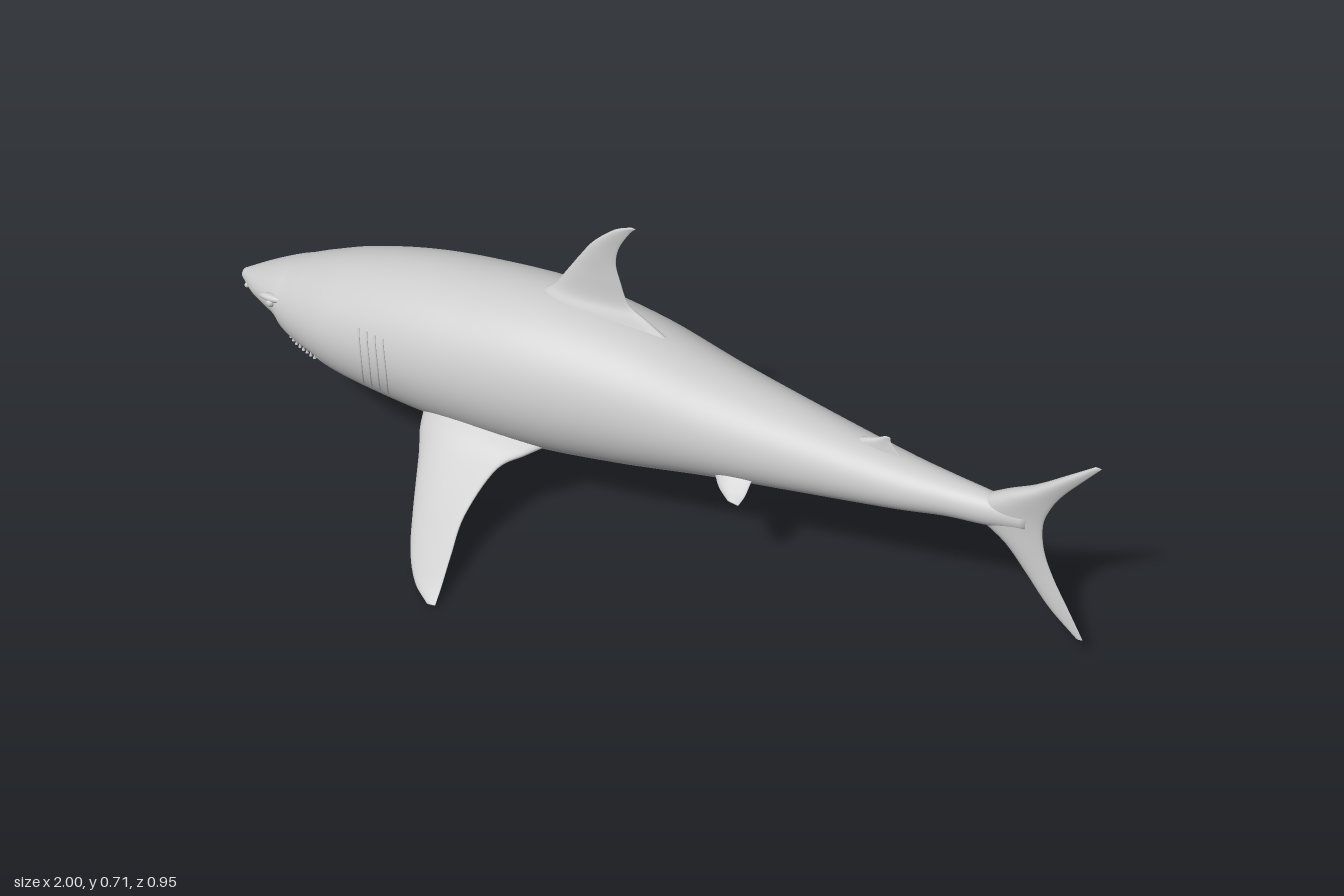
import * as THREE from 'three';

const grey = new THREE.MeshStandardMaterial({ color: 0xcccccc });
const V = (x, y, z) => new THREE.Vector3(x, y, z);

// Body stations: x, top y, belly y, half width
const STATIONS = [
  [-1, 0.31, 0.287, 0.012], [-0.95, 0.336, 0.268, 0.05], [-0.9, 0.36, 0.254, 0.077],
  [-0.865, 0.375, 0.24, 0.093], [-0.845, 0.383, 0.214, 0.102], [-0.8, 0.402, 0.192, 0.12],
  [-0.7, 0.438, 0.163, 0.15], [-0.55, 0.476, 0.143, 0.17], [-0.4, 0.497, 0.135, 0.18],
  [-0.2, 0.51, 0.14, 0.177], [0, 0.489, 0.165, 0.155], [0.2, 0.44, 0.2, 0.122],
  [0.4, 0.4, 0.227, 0.09], [0.6, 0.365, 0.254, 0.059], [0.7, 0.354, 0.271, 0.043],
  [0.78, 0.347, 0.277, 0.032], [0.86, 0.335, 0.288, 0.016],
];

// Smooth interpolation of one column of the stations
function sample(x, k) {
  const S = STATIONS, n = S.length - 1;
  let i = 0;
  while (i < n - 1 && x > S[i + 1][0]) i++;
  const slope = (j) => {
    const a = S[Math.max(j - 1, 0)], b = S[Math.min(j + 1, n)];
    return (b[k] - a[k]) / (b[0] - a[0]);
  };
  const d = S[i + 1][0] - S[i][0], t = (x - S[i][0]) / d, u = 1 - t;
  return S[i][k] * (1 + 2 * t) * u * u + slope(i) * d * t * u * u
    + S[i + 1][k] * t * t * (3 - 2 * t) - slope(i + 1) * d * t * t * u;
}

function section(x) {
  const top = sample(x, 1), bot = sample(x, 2);
  return { c: (top + bot) / 2, h: (top - bot) / 2, w: sample(x, 3) };
}

// Point on the flank at a given x and height
function onBody(x, y, side = 1) {
  const { c, h, w } = section(x);
  const s = THREE.MathUtils.clamp((y - c) / h, -1, 1);
  return V(x, y, side * w * Math.sqrt(1 - s * s));
}

// Skin closed rings of points, closing both ends at their centres
function loft(rings) {
  const n = rings[0].length;
  const collapse = (r) => {
    const m = r.reduce((a, p) => a.add(p), V(0, 0, 0)).divideScalar(n);
    return r.map(() => m);
  };
  const all = [collapse(rings[0]), ...rings, collapse(rings[rings.length - 1])];
  const index = [];
  for (let i = 0; i < all.length - 1; i++) {
    for (let j = 0; j < n; j++) {
      const a = i * n + j, b = i * n + (j + 1) % n;
      index.push(a, a + n, b, b, a + n, b + n);
    }
  }
  const g = new THREE.BufferGeometry().setFromPoints(all.flat());
  g.setIndex(index);
  g.computeVertexNormals();
  return g;
}

const MOUTH_Y = 0.23;

function bodyGeometry() {
  const rings = [], rows = 230, sides = 96;
  for (let i = 0; i <= rows; i++) {
    const x = -1 + 1.86 * (i / rows) ** 1.3;
    const { c, h, w } = section(x);
    const ring = [];
    for (let j = 0; j < sides; j++) {
      const a = (j / sides) * Math.PI * 2;
      const y = c + h * Math.sin(a);
      // Pull the surface inward along the mouth line
      const open = x > -0.87 && x < -0.72 ? Math.min(1, (-0.72 - x) / 0.04) : 0;
      const k = 1 - 0.2 * open * Math.exp(-(((y - MOUTH_Y) / 0.008) ** 2));
      ring.push(V(x, y, w * Math.cos(a) * k));
    }
    rings.push(ring);
  }
  return loft(rings);
}

// Fin from sections of [leading edge, trailing edge, half thickness], root to tip
function finGeometry(sections, rows = 40, sides = 32) {
  const curve = (f) => new THREE.CatmullRomCurve3(sections.map(f), false, 'catmullrom', 0.5);
  const lead = curve((s) => V(...s[0]));
  const trail = curve((s) => V(...s[1]));
  const thick = curve((s) => V(s[2], 0, 0));
  const mid = (t) => lead.getPoint(t).add(trail.getPoint(t)).multiplyScalar(0.5);
  const normal = trail.getPoint(0.5).sub(lead.getPoint(0.5)).cross(mid(1).sub(mid(0))).normalize();
  const rings = [];
  for (let i = 0; i <= rows; i++) {
    const t = i / rows, m = mid(t);
    const chord = trail.getPoint(t).sub(m), th = thick.getPoint(t).x;
    const ring = [];
    for (let j = 0; j < sides; j++) {
      const a = (j / sides) * Math.PI * 2, c = Math.cos(a);
      ring.push(m.clone().addScaledVector(chord, c)
        .addScaledVector(normal, th * Math.sin(a) * (1 - 0.45 * c)));
    }
    rings.push(ring);
  }
  return loft(rings);
}

// Upright fin on the centre line: rows of y, leading x, trailing x, half thickness
const upright = (rows) => finGeometry(rows.map(([y, l, t, w]) => [[l, y, 0], [t, y, 0], w]));

// Side fin: rows of z, leading x, y, trailing x, y, half thickness
const sideFin = (rows, s) =>
  finGeometry(rows.map(([z, lx, ly, tx, ty, w]) => [[lx, ly, s * z], [tx, ty, s * z], w]));

const DORSAL = [
  [0.44, -0.27, 0.12, 0.05], [0.5, -0.235, 0.02, 0.028], [0.53, -0.2, -0.027, 0.015],
  [0.58, -0.165, -0.047, 0.01], [0.62, -0.138, -0.057, 0.008], [0.66, -0.108, -0.05, 0.006],
  [0.7, -0.062, -0.027, 0.004], [0.717, -0.025, -0.012, 0.002],
];
const TAIL = [
  [0.06, 0.985, 0.999, 0.002], [0.12, 0.92, 0.965, 0.007], [0.19, 0.865, 0.925, 0.011],
  [0.25, 0.815, 0.9, 0.016], [0.312, 0.74, 0.892, 0.022], [0.36, 0.795, 0.905, 0.018],
  [0.4, 0.865, 0.927, 0.012], [0.45, 0.932, 0.965, 0.007], [0.488, 0.981, 0.995, 0.002],
];
const SECOND_DORSAL = [
  [0.355, 0.46, 0.6, 0.014], [0.38, 0.49, 0.575, 0.008],
  [0.395, 0.53, 0.563, 0.004], [0.405, 0.548, 0.561, 0.002],
];
const ANAL = [
  [0.28, 0.47, 0.6, 0.014], [0.258, 0.495, 0.578, 0.008],
  [0.247, 0.525, 0.57, 0.005], [0.239, 0.55, 0.567, 0.002],
];
const PECTORAL = [
  [0.08, -0.47, 0.2, -0.13, 0.21, 0.05], [0.15, -0.45, 0.165, -0.19, 0.188, 0.036],
  [0.2, -0.425, 0.135, -0.235, 0.165, 0.024], [0.3, -0.38, 0.073, -0.252, 0.108, 0.016],
  [0.38, -0.338, 0.035, -0.238, 0.063, 0.012], [0.44, -0.29, 0.014, -0.225, 0.03, 0.008],
  [0.475, -0.24, 0.004, -0.22, 0.007, 0.003],
];
const PELVIC = [
  [0.05, 0.18, 0.275, 0.31, 0.28, 0.018], [0.085, 0.215, 0.256, 0.303, 0.26, 0.01],
  [0.11, 0.24, 0.237, 0.3, 0.236, 0.006], [0.125, 0.268, 0.222, 0.292, 0.218, 0.003],
];

export function createModel() {
  const model = new THREE.Group();
  model.name = 'shark';
  const add = (name, geometry, position) => {
    const mesh = new THREE.Mesh(geometry, grey);
    mesh.name = name;
    if (position) mesh.position.copy(position);
    model.add(mesh);
    return mesh;
  };

  add('body', bodyGeometry());
  add('dorsalFin', upright(DORSAL));
  add('tailFin', upright(TAIL));
  add('secondDorsalFin', upright(SECOND_DORSAL));
  add('analFin', upright(ANAL));

  for (const [label, s] of [['left', 1], ['right', -1]]) {
    add(`${label}PectoralFin`, sideFin(PECTORAL, s));
    add(`${label}PelvicFin`, sideFin(PELVIC, s));

    // Eye under a low brow, and nostril
    add(`${label}Eye`, new THREE.SphereGeometry(0.011, 20, 14), onBody(-0.865, 0.318, s));
    add(`${label}Brow`, new THREE.SphereGeometry(1, 24, 16), onBody(-0.865, 0.328, s))
      .scale.set(0.03, 0.009, 0.011);
    add(`${label}Nostril`, new THREE.SphereGeometry(0.006, 12, 8), onBody(-0.972, 0.293, s));

    // Gill slits
    for (let i = 0; i < 4; i++) {
      const path = [];
      for (let k = 0; k <= 8; k++) {
        const u = k / 8;
        path.push(onBody(-0.595 + i * 0.022 + 0.012 * Math.sin(u * Math.PI), 0.23 + 0.145 * u, s));
      }
      add(`${label}Gill${i + 1}`,
        new THREE.TubeGeometry(new THREE.CatmullRomCurve3(path), 24, 0.0025, 6));
    }

    // Teeth along both edges of the mouth
    for (let i = 0; i < 9; i++) {
      const p = onBody(-0.848 + i * 0.013, MOUTH_Y, s);
      p.z *= 0.94;
      for (const up of [1, -1]) {
        const tooth = add(`${label}${up > 0 ? 'Upper' : 'Lower'}Tooth${i + 1}`,
          new THREE.ConeGeometry(0.004, 0.012, 6), p.clone().add(V(up * 0.003, up * 0.005, 0)));
        if (up > 0) tooth.rotation.x = Math.PI;
      }
    }
  }
  return model;
}
